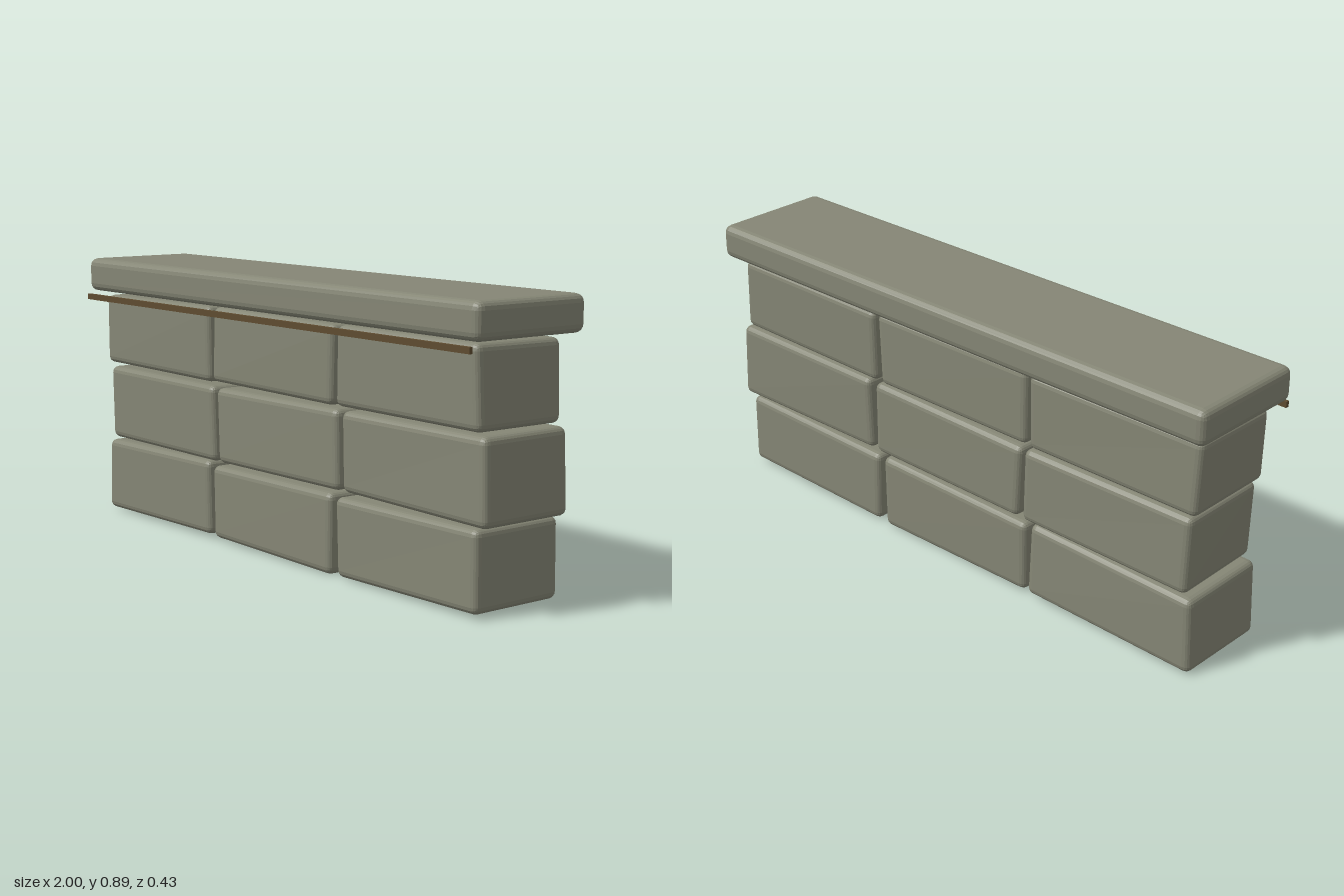
import * as THREE from 'three';
import { RoundedBoxGeometry } from 'three/addons/geometries/RoundedBoxGeometry.js';

const stone = new THREE.MeshStandardMaterial({ name: 'grey stone', color: 0x858675 });
const wood = new THREE.MeshStandardMaterial({ name: 'brown trim', color: 0x5f4c30 });

// Small seeded random source for the uneven faces
let seed = 7;
const jitter = (amount) => {
  seed = (seed * 16807) % 2147483647;
  return (seed / 2147483647 * 2 - 1) * amount;
};

// Bevelled block whose four side corners (BL, BR, TR, TL) follow the given outline
function blockGeometry(corners) {
  const w = corners[1][0] - corners[0][0], h = corners[3][1] - corners[0][1], d = 0.318;
  const geo = new RoundedBoxGeometry(w, h, d, 2, 0.022);
  const target = [1, -1].map((side) => corners.map(([x, y]) => new THREE.Vector3(
    x + jitter(0.003), y + jitter(0.003), side > 0 ? 0.154 + jitter(0.003) : -0.164 + jitter(0.004))));
  const pos = geo.attributes.position;
  for (let i = 0; i < pos.count; i++) {
    const u = pos.getX(i) / w + 0.5, v = pos.getY(i) / h + 0.5, t = 0.5 - pos.getZ(i) / d;
    const faces = target.map(([bl, br, tr, tl]) =>
      bl.clone().lerp(br, u).lerp(tl.clone().lerp(tr, u), v));
    const p = faces[0].lerp(faces[1], t);
    pos.setXYZ(i, p.x, p.y, p.z);
  }
  geo.computeVertexNormals();
  return geo;
}

// Stone outlines by course, bottom to top
const courses = [
  [
    [[-0.96, 0.01], [-0.33, 0.018], [-0.335, 0.265], [-0.952, 0.257]],
    [[-0.315, 0.015], [0.305, 0.005], [0.31, 0.262], [-0.32, 0.257]],
    [[0.33, 0.012], [0.955, 0.018], [0.95, 0.262], [0.325, 0.255]],
  ],
  [
    [[-0.93, 0.27], [-0.3, 0.267], [-0.308, 0.517], [-0.937, 0.522]],
    [[-0.285, 0.267], [0.337, 0.27], [0.335, 0.52], [-0.295, 0.513]],
    [[0.355, 0.27], [0.985, 0.267], [0.978, 0.52], [0.355, 0.52]],
  ],
  [
    [[-0.955, 0.53], [-0.33, 0.525], [-0.327, 0.773], [-0.96, 0.768]],
    [[-0.315, 0.53], [0.307, 0.525], [0.318, 0.77], [-0.315, 0.775]],
    [[0.325, 0.527], [0.957, 0.527], [0.948, 0.773], [0.328, 0.77]],
  ],
];

export function createModel() {
  const model = new THREE.Group();
  model.name = 'stoneWall';
  seed = 7;

  // Staggered courses of three stones
  courses.forEach((course, row) => {
    const group = new THREE.Group();
    group.name = `stoneCourse${row + 1}`;
    course.forEach((corners, i) => {
      const block = new THREE.Mesh(blockGeometry(corners), stone);
      block.name = `wallStone${i + 1}`;
      group.add(block);
    });
    model.add(group);
  });

  // Overhanging coping slab
  const capGeo = new RoundedBoxGeometry(1.995, 0.112, 0.413, 2, 0.026);
  capGeo.computeVertexNormals();
  const cap = new THREE.Mesh(capGeo, stone);
  cap.name = 'copingSlab';
  cap.position.set(0, 0.839, -0.005);
  model.add(cap);

  // Thin strip running under the front lip
  const strip = new THREE.Mesh(new THREE.BoxGeometry(1.96, 0.019, 0.012), wood);
  strip.name = 'frontTrim';
  strip.position.set(0, 0.763, 0.209);
  model.add(strip);

  return model;
}
